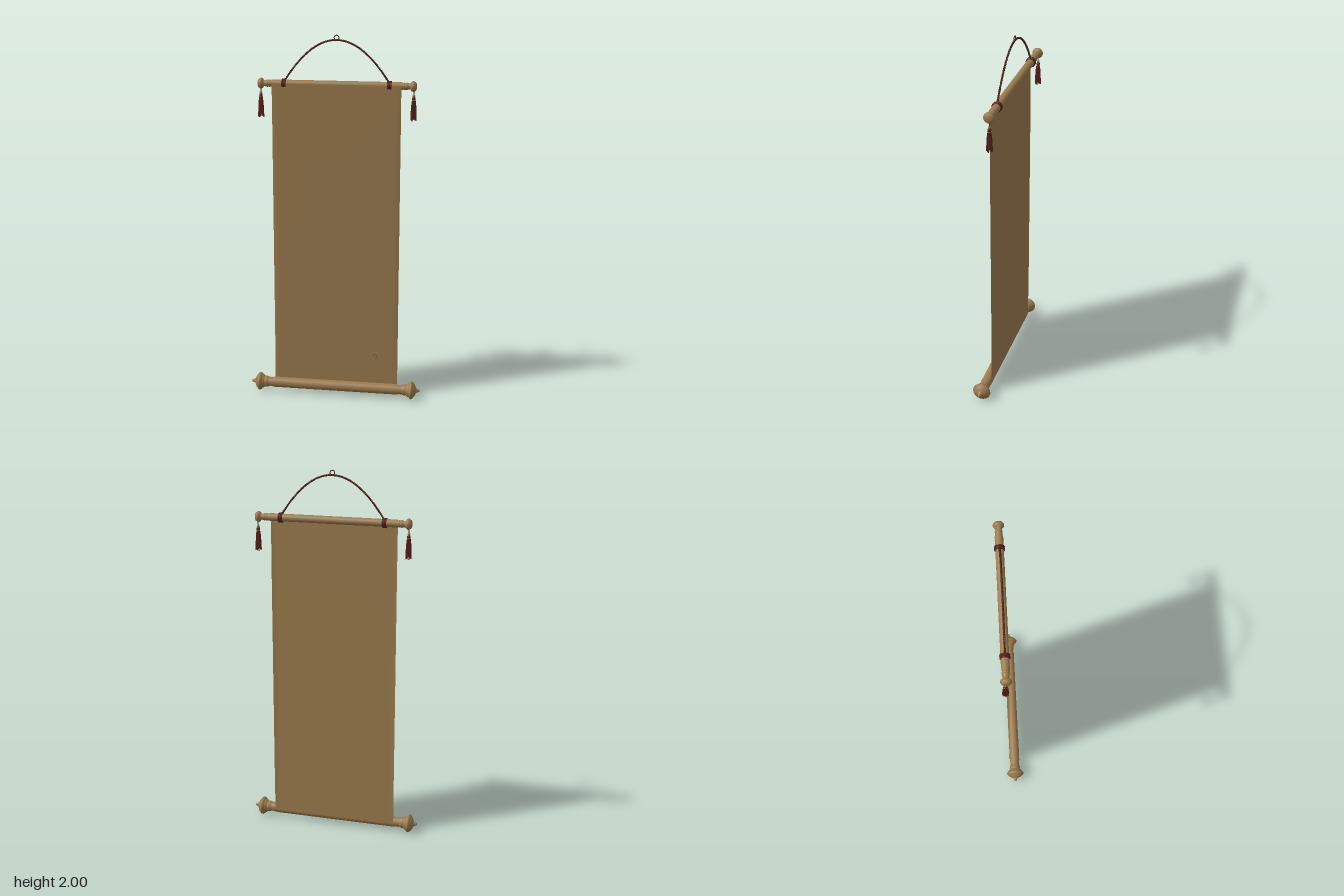
import * as THREE from 'three';

const mat = (name, color, side = THREE.FrontSide) => {
  const m = new THREE.MeshStandardMaterial({ color, side });
  m.name = name;
  return m;
};

export function createModel() {
  const model = new THREE.Group();
  model.name = 'hangingScroll';
  const wood = mat('wood', 0x9b7b4e);
  const paper = mat('paper', 0x9b7b4e, THREE.DoubleSide);
  const red = mat('redThread', 0x5e1a1a);
  const dark = mat('darkThread', 0x45301f);
  const sealRed = mat('sealRed', 0x9a3a34);

  const add = (name, geometry, material, x = 0, y = 0, z = 0, parent = model) => {
    const mesh = new THREE.Mesh(geometry, material);
    mesh.name = name;
    mesh.position.set(x, y, z);
    parent.add(mesh);
    return mesh;
  };

  const TOP = { y: 1.738, z: -0.037, r: 0.021 };
  const LOW = { y: 0.052, z: 0.013, r: 0.029 };

  // Turned rods: each half is a lathe from the middle outwards, [radius, x]
  const rod = (name, at, profile) => {
    const pts = profile.map(([r, x]) => new THREE.Vector2(r, x));
    for (const s of [1, -1]) {
      const g = new THREE.LatheGeometry(pts, 32);
      g.rotateZ(-s * Math.PI / 2);
      add(name + (s > 0 ? 'Left' : 'Right'), g, wood, 0, at.y, at.z);
    }
  };
  rod('topRod', TOP, [
    [0.0195, 0], [0.0195, 0.35], [0.017, 0.354], [0.0195, 0.358], [0.0195, 0.362],
    [0.017, 0.366], [0.0195, 0.37], [0.0195, 0.374], [0.017, 0.38], [0.016, 0.39],
    [0.019, 0.394], [0.025, 0.398], [0.0285, 0.404], [0.0285, 0.411], [0.025, 0.414],
    [0.0245, 0.417], [0.022, 0.421], [0.012, 0.425], [0, 0.426],
  ]);
  rod('bottomRod', LOW, [
    [0.0275, 0], [0.0275, 0.35], [0.024, 0.354], [0.0275, 0.359], [0.024, 0.364],
    [0.0275, 0.369], [0.024, 0.375], [0.0285, 0.381], [0.031, 0.39], [0.031, 0.397],
    [0.029, 0.4], [0.035, 0.405], [0.038, 0.41], [0.037, 0.413], [0.045, 0.418],
    [0.0495, 0.425], [0.0495, 0.431], [0.045, 0.437], [0.038, 0.44], [0.037, 0.444],
    [0.028, 0.449], [0.017, 0.454], [0.0105, 0.46], [0.0085, 0.467], [0.006, 0.473], [0, 0.476],
  ]);

  // Sheet: over the top rod, straight down, then under and around the bottom rod
  const path = [];
  const ARC = 16, DROP = 8;
  for (let i = 0; i <= ARC; i++) {
    const a = Math.PI * (1 - i / ARC);
    path.push([TOP.y + TOP.r * Math.sin(a), TOP.z + TOP.r * Math.cos(a), 0]);
  }
  for (let i = 1; i < DROP; i++) {
    path.push([TOP.y + (LOW.y - TOP.y) * i / DROP, TOP.z + TOP.r, 1]);
  }
  for (let i = 0; i <= ARC * 2; i++) {
    const a = Math.PI * (1 + 1.6 * i / (ARC * 2));
    path.push([LOW.y + LOW.r * Math.sin(a), LOW.z + LOW.r * Math.cos(a), 0]);
  }
  const columns = [-0.346, -0.338, -0.328, -0.315, -0.2, 0, 0.2, 0.315, 0.328, 0.338, 0.346];
  const sheet = new THREE.PlaneGeometry(1, 1, columns.length - 1, path.length - 1);
  const pos = sheet.attributes.position;
  path.forEach(([y, z, free], row) => columns.forEach((x, col) => {
    // free edges curl back very slightly
    const curl = free * 0.003 * Math.max(0, (Math.abs(x) - 0.315) / 0.031) ** 2;
    pos.setXYZ(row * columns.length + col, x, y, z - curl);
  }));
  sheet.computeVertexNormals();
  add('sheet', sheet, paper);

  // Small red stamp of abstract strokes low on the sheet
  const stamp = new THREE.Group();
  stamp.name = 'stamp';
  stamp.position.set(0.223, 0.227, TOP.z + TOP.r + 0.001);
  model.add(stamp);
  for (const [x, y, w, h] of [
    [-0.004, 0.014, 0.014, 0.003], [-0.009, 0.007, 0.003, 0.01], [0.004, 0.006, 0.003, 0.012],
    [0.008, -0.006, 0.008, 0.003], [0.002, -0.012, 0.003, 0.008], [0.01, -0.015, 0.006, 0.003],
  ]) add('stampStroke', new THREE.BoxGeometry(w, h, 0.001), sealRed, x, y, 0, stamp);

  // Hanging cord: two strands twisted along an arch
  class Strand extends THREE.Curve {
    constructor(phase) { super(); this.phase = phase; }
    getPoint(t, target = new THREE.Vector3()) {
      const u = 2 * t - 1;
      const a = t * Math.PI * 2 * 48 + this.phase;
      const slope = Math.atan2(-1.6 * u, 1);
      const n = 0.0028 * Math.cos(a);
      return target.set(
        0.285 * u - Math.sin(slope) * n,
        1.745 + 0.228 * (1 - u * u) + Math.cos(slope) * n,
        TOP.z + 0.0028 * Math.sin(a));
    }
  }
  add('cordStrandRed', new THREE.TubeGeometry(new Strand(0), 520, 0.003, 5), red);
  add('cordStrandDark', new THREE.TubeGeometry(new Strand(Math.PI), 520, 0.003, 5), dark);
  add('hangingRing', new THREE.TorusGeometry(0.0125, 0.0026, 8, 28), dark, 0, 1.985, TOP.z);

  // Tassel: cord, bead, bound neck and a skirt of threads
  const tassel = (x) => {
    const g = new THREE.Group();
    g.name = 'tassel';
    g.position.set(x, 0, TOP.z - 0.003);
    model.add(g);
    add('tasselCord', new THREE.CylinderGeometry(0.0025, 0.0025, 0.05, 8), dark, 0, 1.7, 0, g);
    add('tasselBead', new THREE.SphereGeometry(0.0075, 12, 8), wood, 0, 1.688, 0, g);
    add('tasselHead', new THREE.SphereGeometry(0.0095, 12, 8), red, 0, 1.674, 0, g);
    const band = add('tasselBand', new THREE.TorusGeometry(0.0085, 0.002, 6, 16), wood, 0, 1.665, 0, g);
    band.rotation.x = Math.PI / 2;
    add('tasselCore', new THREE.CylinderGeometry(0.008, 0.012, 0.095, 12), red, 0, 1.618, 0, g);
    for (let i = 0; i < 12; i++) {
      const a = i / 12 * Math.PI * 2;
      const end = 1.556 + 0.012 * ((i * 5) % 4) / 4;
      const curve = new THREE.CatmullRomCurve3([[0.006, 1.672], [0.0105, 1.64], [0.013, 1.6], [0.0145, end]]
        .map(([r, y]) => new THREE.Vector3(r * Math.cos(a), y, r * Math.sin(a))));
      add('tasselThread', new THREE.TubeGeometry(curve, 8, 0.0027, 5), i % 4 ? red : dark, 0, 0, 0, g);
    }
  };

  for (const s of [1, -1]) {
    // Cord bindings wound around the top rod
    for (let i = -1; i <= 1; i++) {
      const wrap = add('cordBinding', new THREE.TorusGeometry(0.0225, 0.0042, 8, 32),
        i * s < 0 ? dark : red, s * 0.282 + i * 0.008, TOP.y, TOP.z);
      wrap.rotation.y = Math.PI / 2;
    }
    tassel(s * 0.41);
  }
  return model;
}
